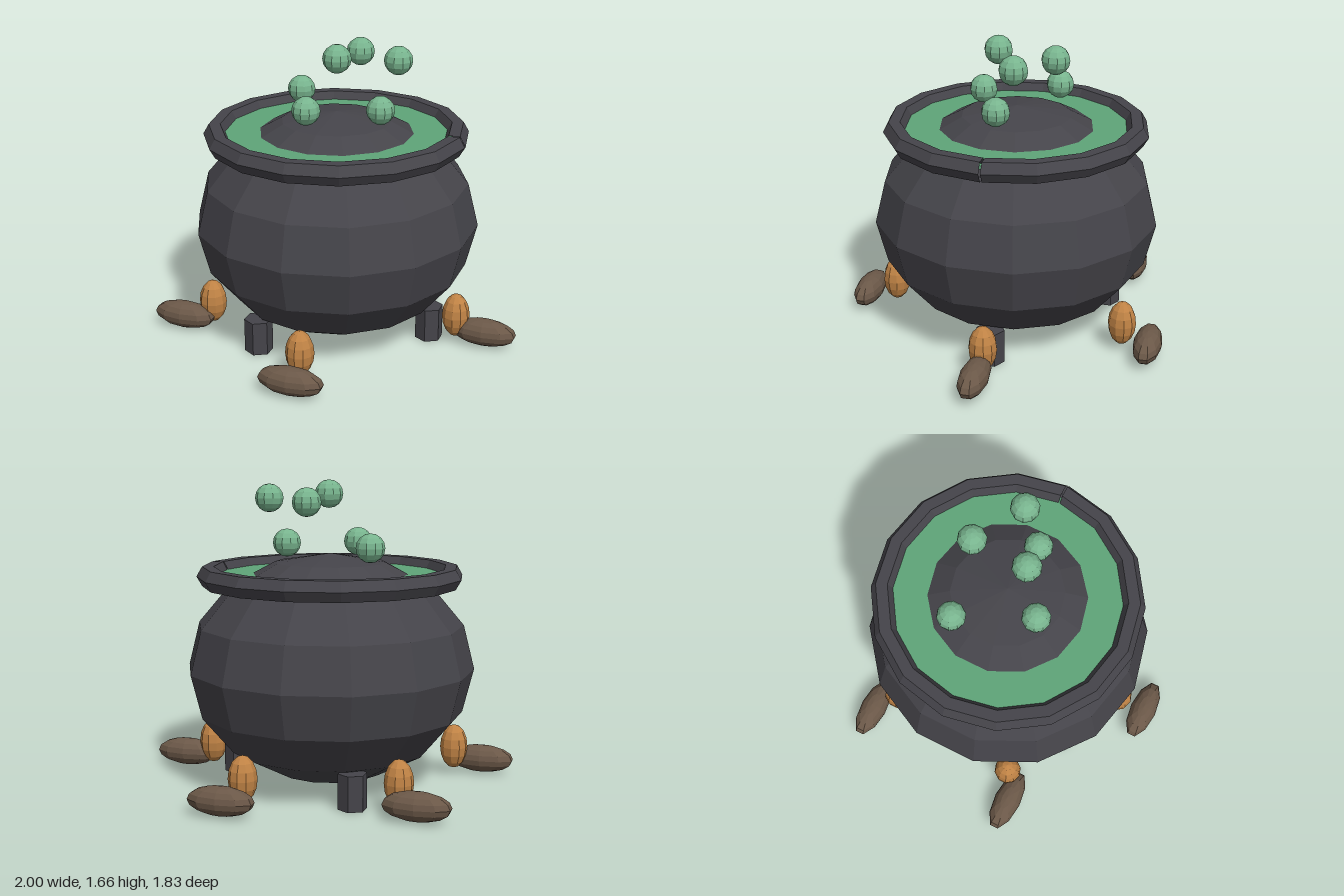
import * as THREE from 'three';

const CX = -0.047, CZ = -0.03; // axis of the pot

const mat = (color) => new THREE.MeshStandardMaterial({ color, flatShading: true });
const iron = mat(0x45444a);
const brew = mat(0x5fa579);
const bubbleMat = mat(0x78b48e);
const flameMat = mat(0xc08345);
const wood = mat(0x6b5848);

export function createModel() {
  const model = new THREE.Group();
  const add = (name, geometry, material, x, y, z) => {
    const mesh = new THREE.Mesh(geometry, material);
    mesh.name = name;
    mesh.position.set(x, y, z);
    model.add(mesh);
    return mesh;
  };
  // Low-poly ellipsoid with its corners on the z axis
  const blob = (sides, rings, rx, ry, rz) =>
    new THREE.SphereGeometry(1, sides, rings).rotateY(Math.PI / 2).scale(rx, ry, rz);

  // Squashed round pot
  add('pot', blob(14, 8, 0.787, 0.625, 0.787), iron, CX, 0.64, CZ);

  // Rim ring with a narrow seam on the +x side
  const rimMat = iron.clone();
  rimMat.side = THREE.DoubleSide;
  const rimGeo = new THREE.TorusGeometry(0.663, 0.062, 6, 16, 6.27).rotateX(-Math.PI / 2);
  add('rim', rimGeo, rimMat, CX, 1.143, CZ);

  // Liquid surface inside the rim
  add('brew', new THREE.CylinderGeometry(0.64, 0.64, 0.02, 16), brew, CX, 1.143, CZ);

  // Three hexagonal legs
  const legGeo = new THREE.CylinderGeometry(0.0775, 0.0775, 0.19, 6);
  for (let i = 0; i < 3; i++) {
    const a = (i * Math.PI * 2) / 3;
    add('leg', legGeo, iron, CX + 0.553 * Math.cos(a), 0.095, CZ - 0.553 * Math.sin(a));
  }

  // Logs and flames around the base
  const logGeo = blob(10, 8, 0.184, 0.077, 0.077);
  const flameGeo = blob(10, 8, 0.077, 0.125, 0.077);
  for (let i = 0; i < 5; i++) {
    const c = Math.cos(i * 1.2), s = Math.sin(i * 1.2);
    add('log', logGeo, wood, CX + 0.87 * c, 0.083, CZ - 0.87 * s);
    add('flame', flameGeo, flameMat, CX + 0.707 * c, 0.16, CZ - 0.707 * s);
  }

  // Rising bubbles
  const bubbleGeo = blob(10, 8, 0.0775, 0.0775, 0.0775);
  [
    [-0.325, 1.315, -0.21], [-0.14, 1.315, 0.18], [0.22, 1.31, 0.015],
    [0.01, 1.55, -0.255], [-0.01, 1.58, 0.06], [0.28, 1.56, -0.095],
  ].forEach((p) => add('bubble', bubbleGeo, bubbleMat, ...p));

  return model;
}
